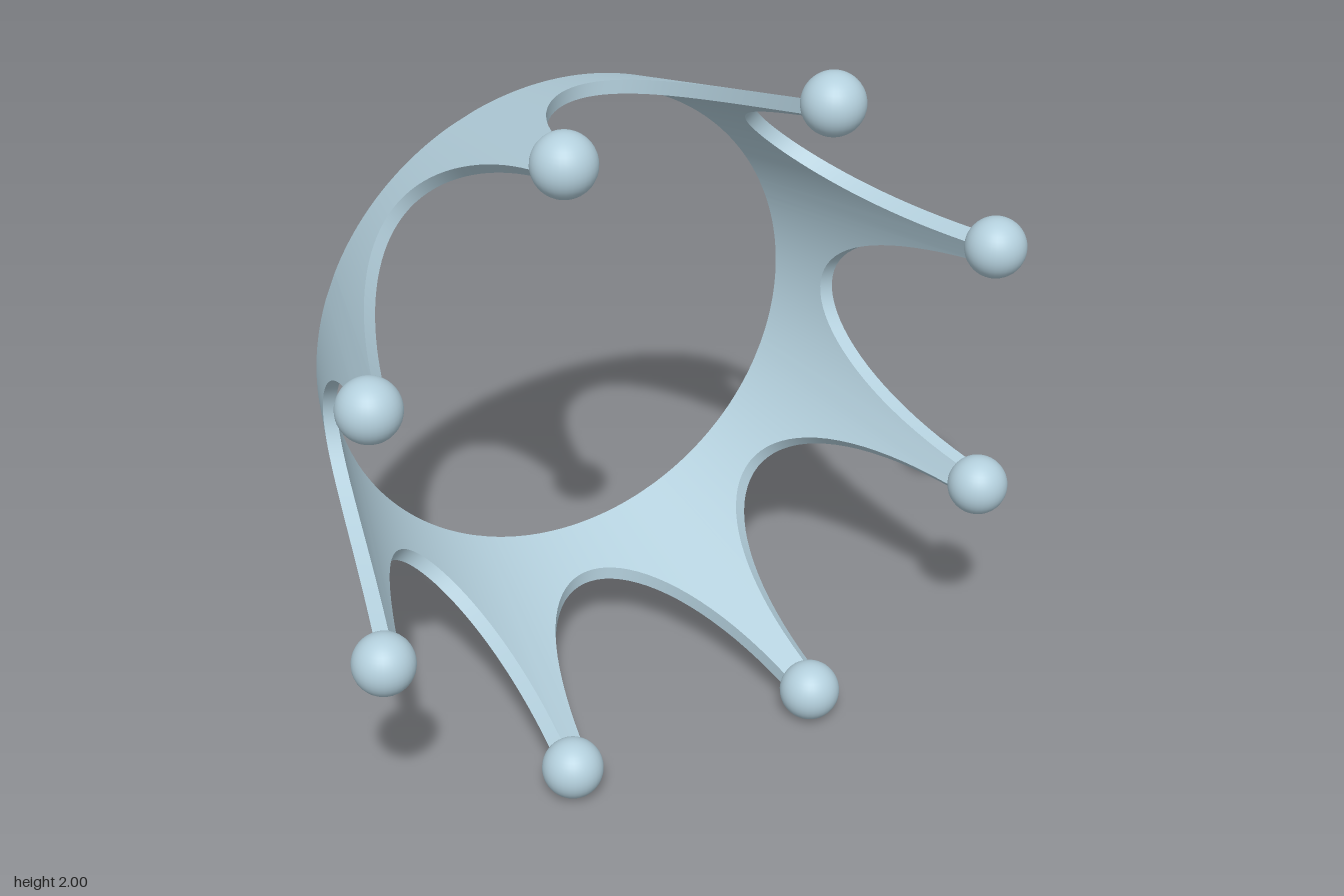
import * as THREE from 'three';
import { toCreasedNormals } from 'three/addons/utils/BufferGeometryUtils.js';

const POINTS = 8;
const Z_BACK = -0.44, Z_TIP = 0.36;
const WALL = 0.04;
const STEPS = 40; // columns per scallop

// Conical wall: radius grows towards the tips
const outerR = (z) => 0.75 + (z - Z_BACK) * 0.3;
const innerR = (z) => outerR(z) - WALL;

// Elliptical scallop cut straight through the wall between two points
const CUT = { z: 0.73, a: 1.0, b: 0.36 };

function bandGeometry() {
  const pos = [], index = [];
  const add = (r, angle, z) => pos.push(r * Math.cos(angle), r * Math.sin(angle), z);
  const maxA = Math.acos((CUT.z - Z_TIP) / CUT.a);

  // Each column is a four-corner section: outer base, outer rim, inner rim, inner base
  for (let s = 0; s < POINTS; s++) {
    const mid = (s / POINTS) * Math.PI * 2;
    for (let i = 0; i <= STEPS; i++) {
      const t = (i / STEPS * 2 - 1) * maxA;
      const z = CUT.z - CUT.a * Math.cos(t);
      const w = CUT.b * Math.sin(t);
      const ao = mid + Math.asin(w / outerR(z));
      const ai = mid + Math.asin(w / innerR(z));
      add(outerR(Z_BACK), ao, Z_BACK);
      add(outerR(z), ao, z);
      add(innerR(z), ai, z);
      add(innerR(Z_BACK), ai, Z_BACK);
    }
  }

  const columns = POINTS * (STEPS + 1);
  for (let i = 0; i < columns; i++) {
    const n = (i + 1) % columns;
    for (let j = 0; j < 4; j++) {
      const k = (j + 1) % 4;
      const a = i * 4 + j, b = n * 4 + j, c = n * 4 + k, d = i * 4 + k;
      index.push(a, b, c, a, c, d);
    }
  }
  const geo = new THREE.BufferGeometry();
  geo.setAttribute('position', new THREE.Float32BufferAttribute(pos, 3));
  geo.setIndex(index);
  return toCreasedNormals(geo, 0.6);
}

export function createModel() {
  const model = new THREE.Group();
  model.name = 'crown';
  const material = new THREE.MeshStandardMaterial({ color: 0xb4d0dd });

  // Scalloped band
  const band = new THREE.Mesh(bandGeometry(), material);
  band.name = 'band';
  band.position.y = 1;
  model.add(band);

  // Ball on every tip
  const ballGeo = new THREE.SphereGeometry(0.085, 32, 20);
  for (let i = 0; i < POINTS; i++) {
    const angle = ((i + 0.5) / POINTS) * Math.PI * 2;
    const ball = new THREE.Mesh(ballGeo, material);
    ball.name = 'tipBall' + (i + 1);
    ball.position.set(0.99 * Math.cos(angle), 1 + 0.99 * Math.sin(angle), Z_TIP);
    model.add(ball);
  }
  return model;
}
